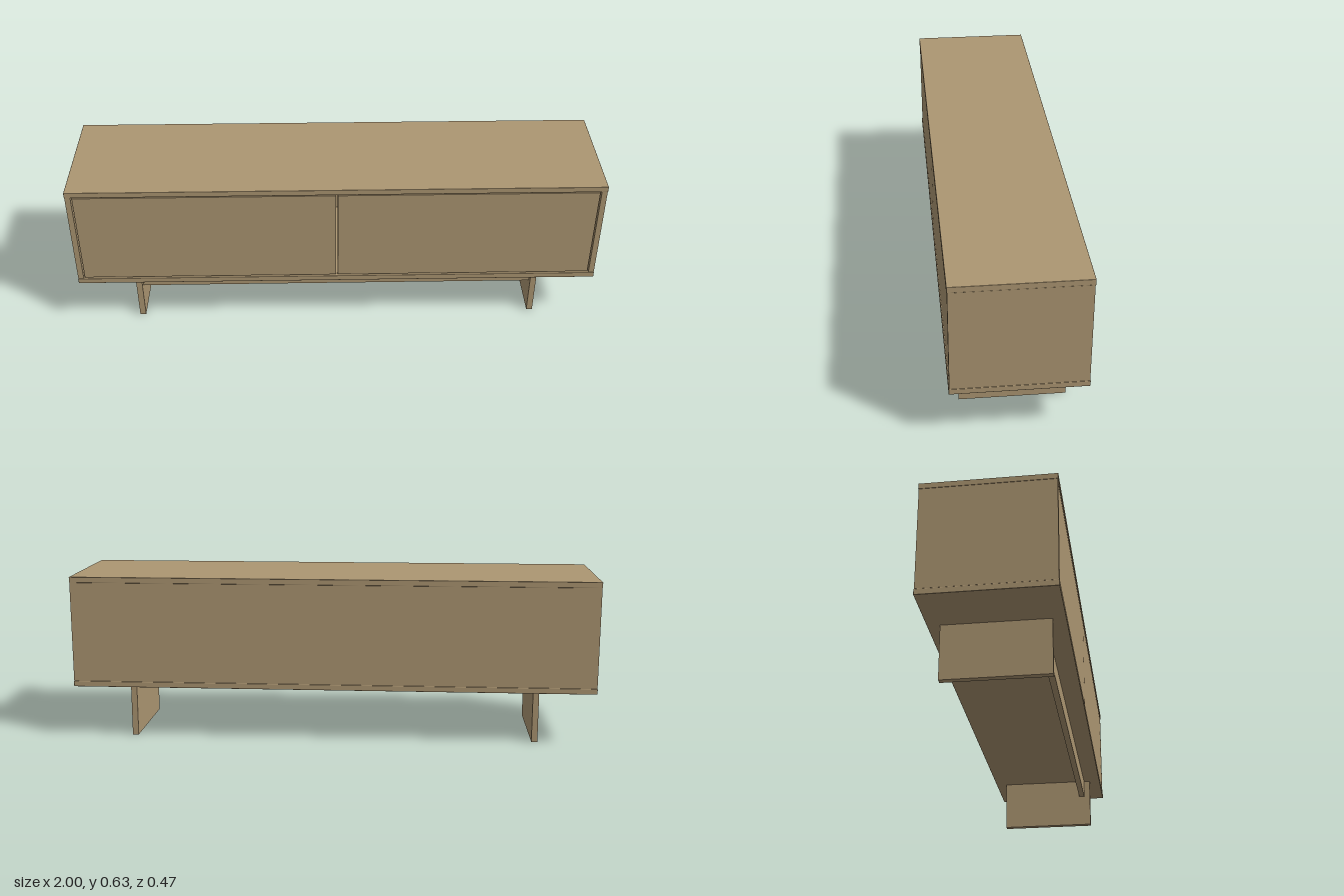
import * as THREE from 'three';
import { RoundedBoxGeometry } from 'three/addons/geometries/RoundedBoxGeometry.js';

export function createModel() {
  const model = new THREE.Group();
  model.name = 'lowSideboard';

  const wood = new THREE.MeshStandardMaterial({ color: 0xac9672 });
  wood.name = 'lightOak';

  // Panel given by its extents along each axis, with optional softened edges
  function panel(name, [x0, x1], [y0, y1], [z0, z1], radius = 0) {
    const size = [x1 - x0, y1 - y0, z1 - z0];
    const geometry = radius
      ? new RoundedBoxGeometry(...size, 2, radius)
      : new THREE.BoxGeometry(...size);
    const mesh = new THREE.Mesh(geometry, wood);
    mesh.name = name;
    mesh.position.set((x0 + x1) / 2, (y0 + y1) / 2, (z0 + z1) / 2);
    model.add(mesh);
  }

  // Top and bottom boards, standing just proud of the carcass
  panel('topBoard', [-1, 1], [0.608, 0.63], [-0.235, 0.235], 0.002);
  panel('bottomBoard', [-1, 1], [0.203, 0.225], [-0.235, 0.235], 0.002);

  // Back panel between the side panels
  panel('backPanel', [-0.978, 0.978], [0.225, 0.608], [-0.233, -0.215]);

  for (const [side, s] of [['left', 1], ['right', -1]]) {
    const span = (a, b) => (s > 0 ? [a, b] : [-b, -a]);
    // Side panel, inset door with a thin shadow gap, and slab leg
    panel(side + 'SidePanel', span(0.978, 0.999), [0.225, 0.608], [-0.233, 0.233]);
    panel(side + 'Door', span(0.003, 0.973), [0.23, 0.603], [0.211, 0.232]);
    panel(side + 'Leg', span(0.765, 0.788), [0, 0.203], [-0.19, 0.19]);
  }

  // Rail joining the legs near the front
  panel('frontRail', [-0.765, 0.765], [0.131, 0.203], [0.142, 0.165]);

  return model;
}
